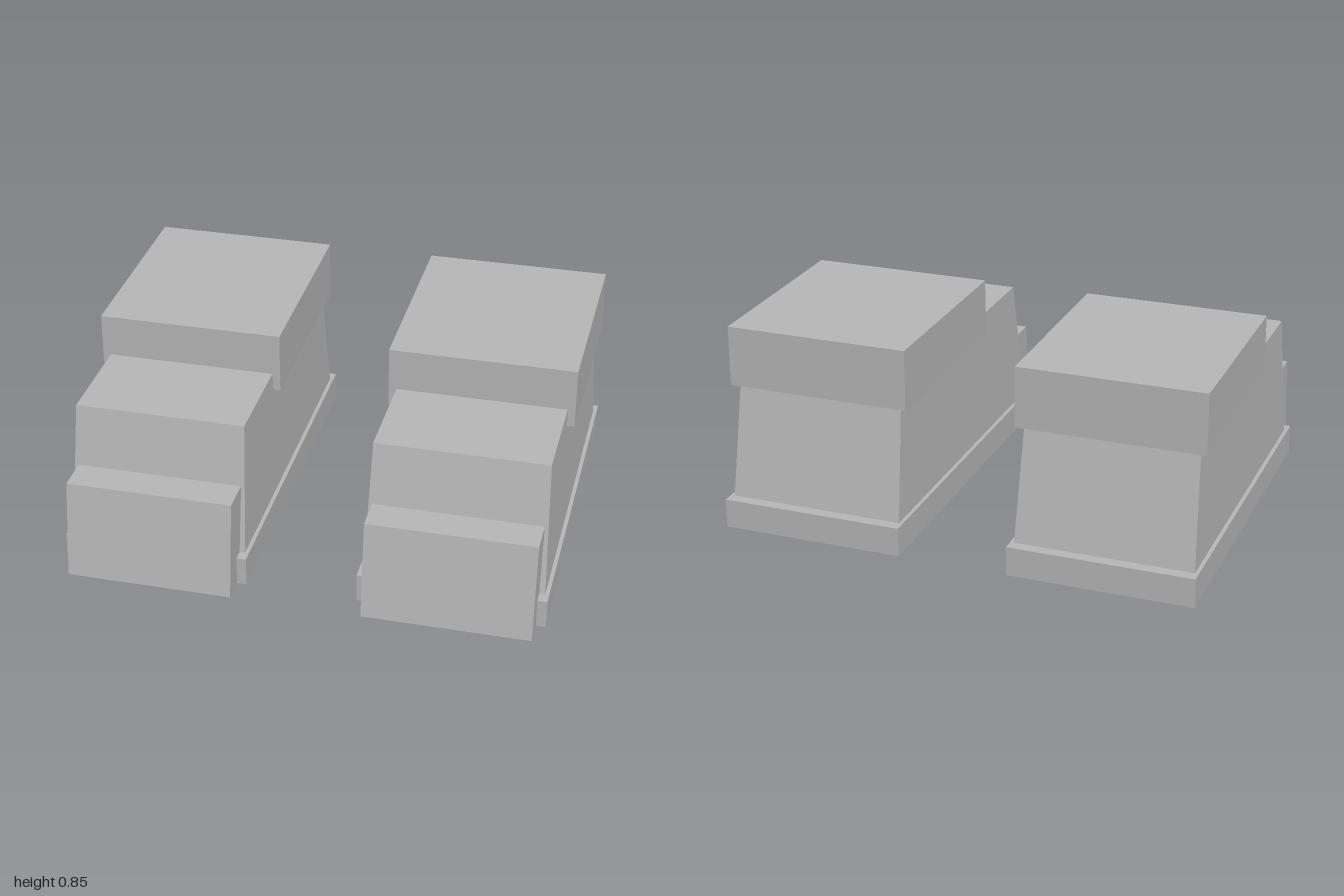
import * as THREE from 'three';

const grey = new THREE.MeshStandardMaterial({ color: 0xb8b8b8 });
grey.name = 'grey';

// Block whose bottom and top rectangles differ: each is { y, w, back, front }
function taperedBlock(name, bottom, top) {
  const geometry = new THREE.BoxGeometry(1, 1, 1);
  const p = geometry.attributes.position;
  for (let i = 0; i < p.count; i++) {
    const r = p.getY(i) > 0 ? top : bottom;
    p.setXYZ(i, p.getX(i) * r.w, r.y, p.getZ(i) > 0 ? r.front : r.back);
  }
  geometry.computeVertexNormals();
  const mesh = new THREE.Mesh(geometry, grey);
  mesh.name = name;
  return mesh;
}

function createBoot(name, x) {
  const boot = new THREE.Group();
  boot.name = name;
  boot.position.x = x;
  boot.add(
    // Flat sole
    taperedBlock('sole',
      { y: 0, w: 0.77, back: -0.82, front: 0.72 },
      { y: 0.123, w: 0.77, back: -0.82, front: 0.72 }),
    // Main body, narrowing upwards
    taperedBlock('upper',
      { y: 0.12, w: 0.738, back: -0.772, front: 0.672 },
      { y: 0.668, w: 0.705, back: -0.68, front: 0.58 }),
    // Toe cap with a sloping front
    taperedBlock('toeCap',
      { y: 0, w: 0.69, back: 0.5, front: 0.822 },
      { y: 0.41, w: 0.69, back: 0.5, front: 0.768 }),
    // Overhanging ankle cuff
    taperedBlock('cuff',
      { y: 0.593, w: 0.77, back: -0.718, front: 0.153 },
      { y: 0.847, w: 0.77, back: -0.718, front: 0.153 }),
  );
  return boot;
}

export function createModel() {
  const model = new THREE.Group();
  model.name = 'boots';
  model.add(createBoot('leftBoot', 0.615), createBoot('rightBoot', -0.615));
  return model;
}
